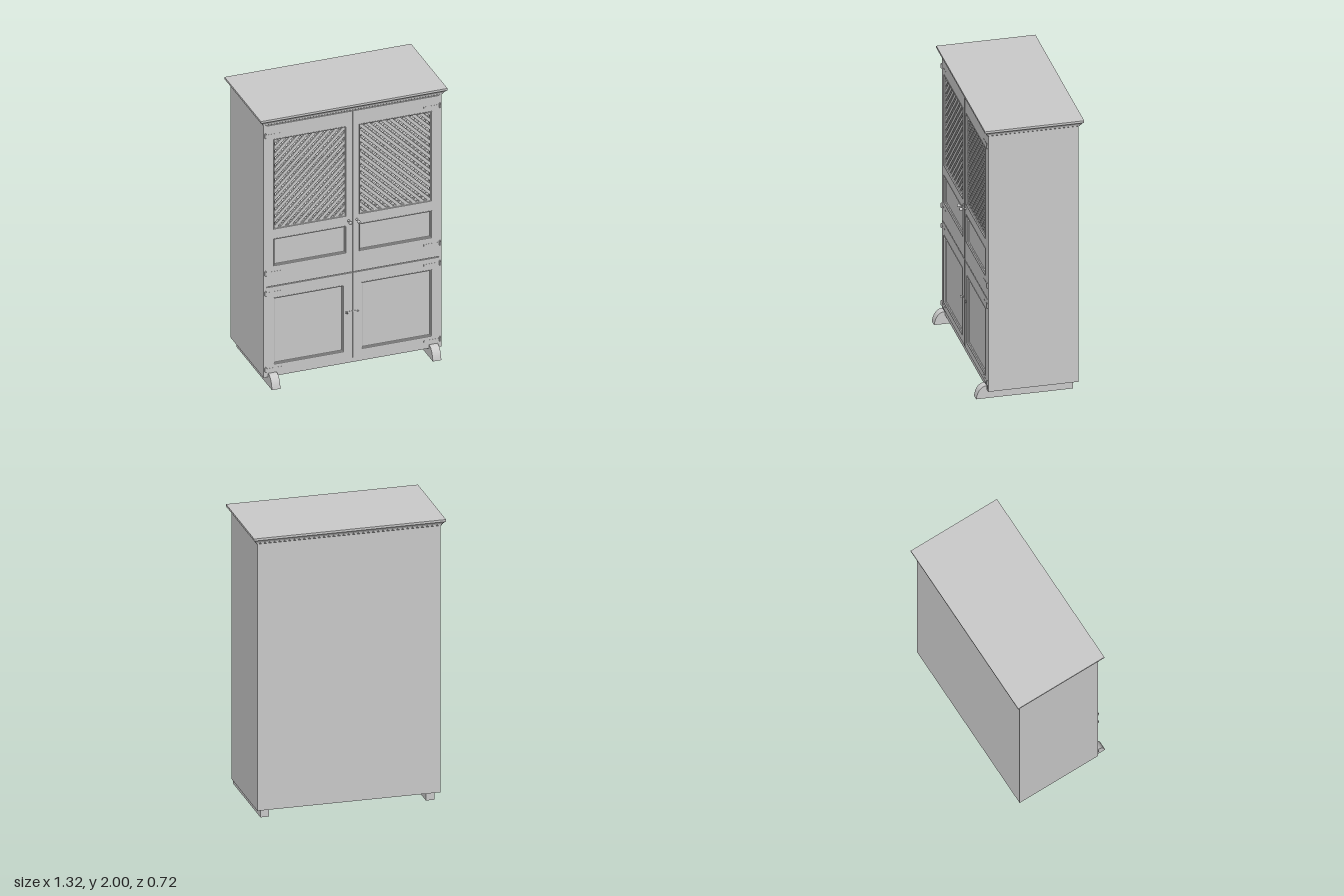
import * as THREE from 'three';

const mat = new THREE.MeshStandardMaterial({ color: 0xcccccc });
const flat = new THREE.MeshStandardMaterial({ color: 0xcccccc, flatShading: true });

function add(parent, name, geo, x = 0, y = 0, z = 0, m = mat) {
  const mesh = new THREE.Mesh(geo, m);
  mesh.name = name;
  mesh.position.set(x, y, z);
  parent.add(mesh);
  return mesh;
}

// box from min/max corners
function box(parent, name, x0, x1, y0, y1, z0, z1) {
  return add(parent, name, new THREE.BoxGeometry(x1 - x0, y1 - y0, z1 - z0),
    (x0 + x1) / 2, (y0 + y1) / 2, (z0 + z1) / 2);
}

// sweep of rectangles [halfWidth, halfHeight, z]
function rectLoft(rings) {
  const pos = [], idx = [];
  for (const [w, h, z] of rings) pos.push(-w, -h, z, w, -h, z, w, h, z, -w, h, z);
  for (let r = 0; r < rings.length - 1; r++) {
    for (let i = 0; i < 4; i++) {
      const a = r * 4 + i, b = r * 4 + (i + 1) % 4;
      idx.push(a, b, b + 4, a, b + 4, a + 4);
    }
  }
  const g = new THREE.BufferGeometry();
  g.setAttribute('position', new THREE.Float32BufferAttribute(pos, 3));
  g.setIndex(idx);
  const out = g.toNonIndexed();
  out.computeVertexNormals();
  return out;
}

function rectPath(P, [x0, x1, y0, y1]) {
  const p = new P();
  p.moveTo(x0, y0).lineTo(x1, y0).lineTo(x1, y1).lineTo(x0, y1).closePath();
  return p;
}

const FRONT = 0.288, BACK = 0.262;

// door frame with openings, each edged by a stepped moulding
function doorFrame(parent, name, outline, openings) {
  const shape = rectPath(THREE.Shape, outline);
  openings.forEach(o => shape.holes.push(rectPath(THREE.Path, o)));
  add(parent, name, new THREE.ExtrudeGeometry(shape, { depth: FRONT - BACK, bevelEnabled: false }), 0, 0, BACK);
  for (const [x0, x1, y0, y1] of openings) {
    const w = (x1 - x0) / 2, h = (y1 - y0) / 2;
    add(parent, 'panelMoulding', rectLoft([
      [w, h, 0], [w, h, 0.003], [w - 0.004, h - 0.004, 0.003],
      [w - 0.006, h - 0.006, -0.004], [w - 0.011, h - 0.011, -0.007], [w - 0.011, h - 0.011, -0.024],
    ]), (x0 + x1) / 2, (y0 + y1) / 2, FRONT);
  }
}

// diagonal slats clipped to an opening; dir = +1 rises to the right
function slats(parent, [x0, x1, y0, y1], dir, z, depth) {
  const cx = (x0 + x1) / 2, cy = (y0 + y1) / 2, w = (x1 - x0) / 2, h = (y1 - y0) / 2;
  const step = 0.054;
  for (let c = -(w + h) + step / 2; c < w + h; c += step) {
    // line y = x + c, mirrored in x for the other direction
    const a = Math.max(-w, -h - c), b = Math.min(w, h - c);
    if (b - a < 0.02) continue;
    const m = (a + b) / 2;
    const slat = add(parent, 'latticeSlat',
      new THREE.BoxGeometry((b - a) * Math.SQRT2, 0.022, depth), cx + dir * m, cy + m + c, z);
    slat.rotation.z = dir * Math.PI / 4;
  }
}

function buildCarcass(root) {
  const g = new THREE.Group();
  g.name = 'carcass';
  root.add(g);
  for (const s of [-1, 1]) {
    const xs = [s * 0.612, s * 0.63].sort((a, b) => a - b);
    box(g, 'sidePanel', xs[0], xs[1], 0.06, 1.96, -0.3, 0.286);
  }
  box(g, 'backPanel', -0.63, 0.63, 0.06, 1.96, -0.33, -0.3);
  box(g, 'bottomBoard', -0.612, 0.612, 0.07, 0.09, -0.3, 0.262);
  box(g, 'bottomRail', -0.612, 0.612, 0.06, 0.094, 0.25, 0.283);
  box(g, 'topRail', -0.612, 0.612, 1.945, 1.96, 0.25, 0.286);
  for (const y of [0.4, 0.735, 1.2, 1.62]) box(g, 'shelf', -0.612, 0.612, y - 0.009, y + 0.009, -0.3, 0.255);

  // cornice with a cove profile
  const rings = [[0, 0], [0.003, 0], [0.008, 0.004], [0.008, 0.01], [0.012, 0.012], [0.016, 0.02],
    [0.022, 0.028], [0.028, 0.033], [0.031, 0.035], [0.031, 0.05]]
    .map(([o, y]) => [0.63 + o, 0.3075 + o, 1.95 + y]);
  rings.push([0, 0, 2]);
  const cornice = rectLoft(rings);
  cornice.rotateX(-Math.PI / 2);
  add(g, 'cornice', cornice, 0, 0, -0.0225);
}

function buildFeet(root) {
  const s = new THREE.Shape();
  s.moveTo(-0.3, 0).lineTo(0.362, 0).lineTo(0.358, 0.018);
  s.bezierCurveTo(0.35, 0.055, 0.33, 0.085, 0.3, 0.09);
  s.lineTo(0.288, 0.09).lineTo(0.288, 0.06).lineTo(-0.3, 0.06).closePath();
  const geo = new THREE.ExtrudeGeometry(s, { depth: 0.06, bevelEnabled: false, curveSegments: 10 });
  geo.rotateY(-Math.PI / 2);
  for (const x of [-0.57, 0.57]) add(root, 'runnerFoot', geo, x + 0.03, 0, 0);
}

function buildDoors(root, s) {
  const span = (a, b) => (s > 0 ? [a, b] : [-b, -a]);
  const lattice = [...span(0.046, 0.56), 1.16, 1.835];
  const small = [...span(0.046, 0.56), 0.885, 1.09];
  const large = [...span(0.062, 0.562), 0.148, 0.648];

  const upper = new THREE.Group();
  upper.name = s > 0 ? 'upperLeftDoor' : 'upperRightDoor';
  doorFrame(upper, 'upperDoorFrame', [...span(0.001, 0.611), 0.738, 1.942], [lattice, small]);
  box(upper, 'doorPanel', ...small, 0.264, 0.274);
  slats(upper, lattice, -s, 0.277, 0.01);
  slats(upper, lattice, s, 0.267, 0.01);

  const lower = new THREE.Group();
  lower.name = s > 0 ? 'lowerLeftDoor' : 'lowerRightDoor';
  doorFrame(lower, 'lowerDoorFrame', [...span(0.001, 0.611), 0.096, 0.732], [large]);
  box(lower, 'doorPanel', ...large, 0.264, 0.274);

  // round pull knob on a stem
  const profile = [[0, 0], [0.009, 0], [0.009, 0.003], [0.005, 0.006], [0.005, 0.022], [0.009, 0.026],
    [0.012, 0.033], [0.011, 0.04], [0.006, 0.044], [0, 0.045]].map(p => new THREE.Vector2(...p));
  const knob = add(upper, 'knob', new THREE.LatheGeometry(profile, 20), s * 0.029, 1.125, FRONT);
  knob.rotation.x = Math.PI / 2;

  // hinges: knuckle with finials and a thin strap
  for (const y of [0.12, 0.69, 0.84, 1.87]) {
    const hinge = new THREE.Group();
    hinge.name = 'hinge';
    hinge.position.set(s * 0.618, y, 0.291);
    add(hinge, 'hingeKnuckle', new THREE.CylinderGeometry(0.007, 0.007, 0.028, 10));
    for (const e of [-1, 1]) add(hinge, 'hingeFinial', new THREE.SphereGeometry(0.005, 8, 6), 0, e * 0.015, 0);
    add(hinge, 'hingeStrap', new THREE.BoxGeometry(0.11, 0.012, 0.002), -s * 0.06, 0, -0.003);
    (y < 0.735 ? lower : upper).add(hinge);
  }
  root.add(upper, lower);
}

function buildLatch(root) {
  const g = new THREE.Group();
  g.name = 'latch';
  root.add(g);
  const pin = new THREE.CylinderGeometry(0.004, 0.004, 0.02, 8);
  pin.rotateX(Math.PI / 2);
  add(g, 'latchPin', pin, -0.048, 0.445, 0.296);
  const tip = new THREE.ConeGeometry(0.01, 0.014, 4);
  tip.rotateZ(Math.PI / 2);
  add(g, 'latchTip', tip, -0.05, 0.445, 0.302, flat);
  box(g, 'latchBar', -0.045, 0.03, 0.443, 0.447, 0.287, 0.29);
  add(g, 'latchStud', new THREE.SphereGeometry(0.006, 10, 8), 0.036, 0.44, 0.29);
}

export function createModel() {
  const root = new THREE.Group();
  root.name = 'cupboard';
  buildCarcass(root);
  buildFeet(root);
  buildDoors(root, 1);
  buildDoors(root, -1);
  buildLatch(root);
  return root;
}
